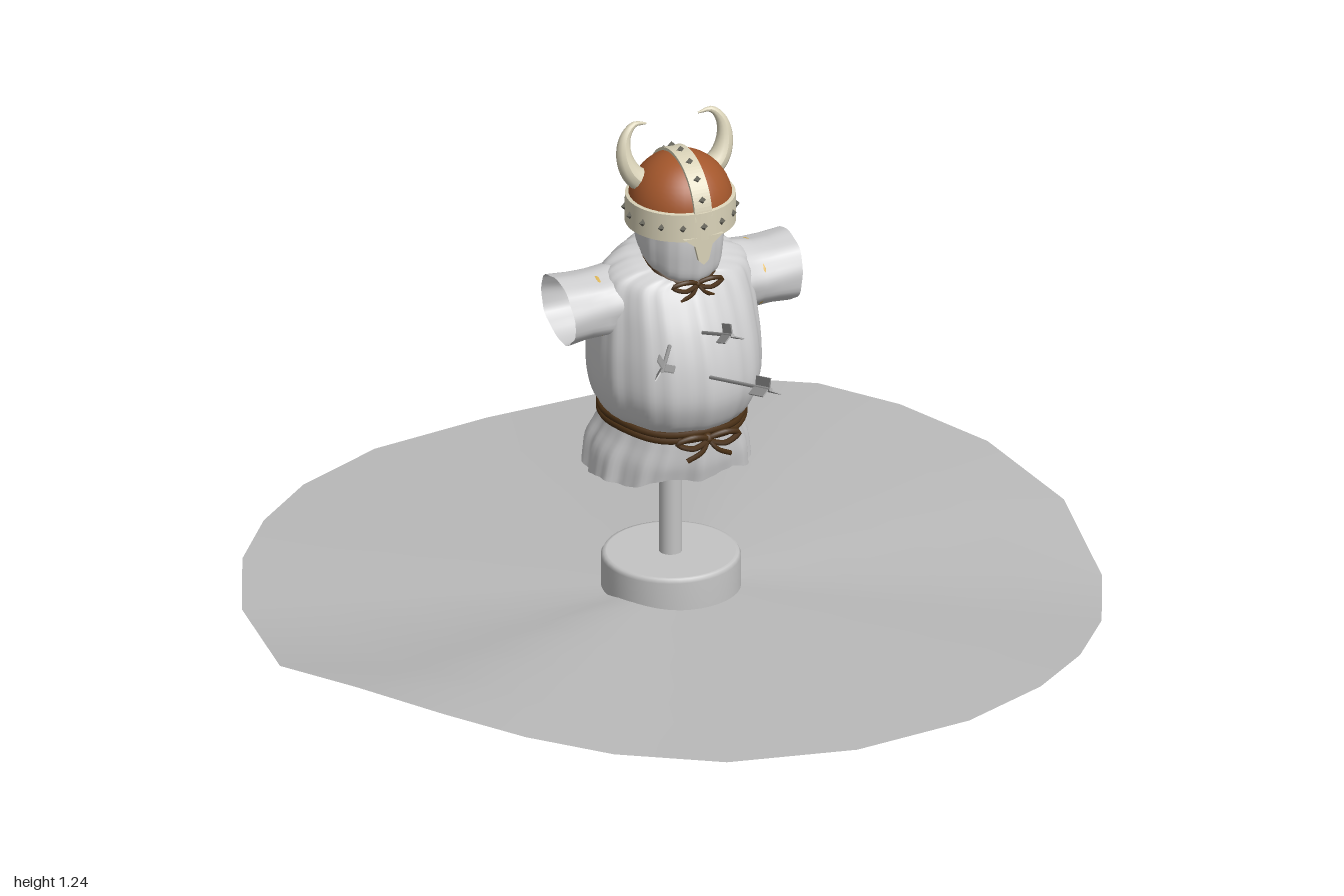
import * as THREE from 'three';

const V = (x, y, z) => new THREE.Vector3(x, y, z);
const mat = (name, color, double) => {
  const m = new THREE.MeshStandardMaterial({ color });
  m.name = name;
  if (double) m.side = THREE.DoubleSide;
  return m;
};

// Smooth surface through a grid of points; columns wrap around
function grid(cols, rows, fn) {
  const pos = [], idx = [];
  for (let i = 0; i < cols; i++) for (let j = 0; j < rows; j++) pos.push(...fn(i, j).toArray());
  for (let i = 0; i < cols; i++) for (let j = 0; j < rows - 1; j++) {
    const a = i * rows + j, b = ((i + 1) % cols) * rows + j;
    idx.push(a, a + 1, b, b, a + 1, b + 1);
  }
  const g = new THREE.BufferGeometry();
  g.setAttribute('position', new THREE.Float32BufferAttribute(pos, 3));
  g.setIndex(idx);
  g.computeVertexNormals();
  return g;
}

const folds = a => Math.sin(9 * a + 0.4) + 0.7 * Math.sin(16 * a + 1) + 0.5 * Math.sin(27 * a + 2);

// Cloth lofted through rings [y, halfWidth, front z, back z, tilt, fold depth]
function cloth(rings, cols, rows, hem = () => 0) {
  const columns = [];
  for (let i = 0; i < cols; i++) {
    const a = i / cols * Math.PI * 2;
    const pts = rings.map(([y, rx, zf, zb, tilt, fold], k) => {
      const s = 1 + fold * folds(a), mid = (zf + zb) / 2, rz = (zf - zb) / 2;
      const dz = rz * Math.sin(a) * s;
      return V(rx * Math.cos(a) * s - 0.004, y - tilt * dz + (k === 0 ? hem(a) : 0), mid + dz);
    });
    columns.push(new THREE.CatmullRomCurve3(pts).getPoints(rows - 1));
  }
  return grid(cols, rows, (i, j) => columns[i][j]);
}

function tube(pts, r, closed = false, seg = 24) {
  return new THREE.TubeGeometry(new THREE.CatmullRomCurve3(pts, closed), seg, r, 6, closed);
}

// Horn: a tube narrowed towards its tip
function horn(pts, r) {
  const seg = 20, sides = 12, curve = new THREE.CatmullRomCurve3(pts);
  const g = new THREE.TubeGeometry(curve, seg, r, sides), p = g.attributes.position, v = V();
  for (let i = 0; i < p.count; i++) {
    const t = Math.floor(i / (sides + 1)) / seg, c = curve.getPointAt(t);
    v.fromBufferAttribute(p, i).sub(c).multiplyScalar(1 - 0.93 * Math.pow(t, 1.3)).add(c);
    p.setXYZ(i, v.x, v.y, v.z);
  }
  g.computeVertexNormals();
  return g;
}

export function createModel() {
  const model = new THREE.Group();
  const linen = mat('linen', 0xcfcfd0, true), ground = mat('ground grey', 0xb9b9b9, true);
  const stand = mat('stand grey', 0xc4c4c4), rope = mat('rope brown', 0x4a3015);
  const leather = mat('helmet brown', 0xa4572c), bone = mat('bone', 0xd9d2b8);
  const straw = mat('straw', 0xdcb456), stud = mat('stud grey', 0x66645a), shaft = mat('arrow grey', 0xa0a0a0);
  const add = (name, geo, m, parent = model) => {
    const mesh = new THREE.Mesh(geo, m);
    mesh.name = name;
    parent.add(mesh);
    return mesh;
  };

  // Uneven ground disc
  const quarter = [0, 18, 33, 45, 57, 72];
  const edge = [.05, .0, .01, .02, .03, .04, .05, .06, .08, .1, .115, .105,
    .035, .035, .04, .04, .04, .035, .03, .06, .09, .1, .09, .075];
  add('groundDisc', grid(24, 6, (i, j) => {
    const a = (quarter[i % 6] + 90 * Math.floor(i / 6)) * Math.PI / 180, r = 1 - j / 5;
    return V(Math.cos(a) * r, 0.05 + (edge[i] - 0.05) * r, Math.sin(a) * r);
  }), ground);

  // Round base with softened rim, and pole
  const baseProfile = [[0, 0], [.16, 0], [.16, 0], [.162, .006], [.162, .12], [.157, .129], [.15, .13], [.15, .13], [0, .13]];
  add('base', new THREE.LatheGeometry(baseProfile.map(p => new THREE.Vector2(...p)), 40), stand).position.set(-.005, 0, .005);
  add('pole', new THREE.CylinderGeometry(.027, .027, .5, 20), stand).position.set(-.006, .36, .005);

  // Tunic, gathered at belt and neck
  add('tunic', cloth([
    [.37, .195, .165, -.2, 0, .022], [.42, .185, .175, -.205, 0, .02], [.47, .163, .18, -.185, 0, .012],
    [.505, .155, .183, -.17, 0, .007], [.54, .178, .208, -.183, 0, .01], [.6, .197, .23, -.19, 0, .01],
    [.68, .2, .225, -.187, 0, .01], [.76, .194, .2, -.16, 0, .012], [.83, .187, .168, -.125, .05, .014],
    [.875, .172, .145, -.098, .12, .016], [.9, .13, .137, -.075, .25, .022], [.91, .088, .13, -.045, .36, .02],
  ], 120, 48, a => -.014 * Math.cos(2 * a) + .006 * Math.sin(7 * a)), linen);

  // Sack head
  add('sackHead', cloth([
    [.9, .07, .125, -.04, .36, .012], [.915, .09, .148, -.055, .32, .012], [.95, .099, .16, -.066, .15, .01],
    [1.0, .101, .164, -.07, .05, .009], [1.06, .104, .155, -.065, 0, .005],
  ], 80, 20), linen);

  // Short open sleeves with straw inside
  const sleeveRings = [[.13, .85, .085, .1], [.17, .083, .092], [.2, .078, .09], [.24, .078, .088], [.29, .083, .092]]
    .map((s, k) => k === 0 ? [.13, .088, .1] : s);
  for (const side of [1, -1]) {
    const arm = new THREE.Group();
    arm.name = side > 0 ? 'leftSleeve' : 'rightSleeve';
    arm.rotation.y = side > 0 ? 0 : Math.PI;
    model.add(arm);
    add('sleeveCloth', grid(48, 5, (i, j) => {
      const a = -i / 48 * Math.PI * 2, [x, ry, rz] = sleeveRings[j];
      const s = 1 + .025 * Math.sin(5 * a + j) + .015 * Math.sin(9 * a);
      return V(x + .008 * Math.sin(a) * (j / 4), .8 + ry * Math.sin(a) * s, rz * Math.cos(a) * s);
    }), linen, arm);
    const fill = add('strawFilling', new THREE.SphereGeometry(1, 24, 14), straw, arm);
    fill.scale.set(.03, .077, .088);
    fill.position.set(.2, .8, 0);
  }

  // Rope loops around waist and neck
  const loop = (y, rx, zf, zb, tilt, r) => tube(Array.from({ length: 32 }, (_, i) => {
    const a = i / 16 * Math.PI, dz = (zf - zb) / 2 * Math.sin(a);
    return V(rx * Math.cos(a) - .004, y - tilt * dz + .003 * Math.sin(5 * a), (zf + zb) / 2 + dz);
  }), r, true, 64);
  add('beltUpper', loop(.512, .163, .192, -.178, 0, .008), rope);
  add('beltLower', loop(.497, .163, .192, -.178, 0, .008), rope);
  add('neckRope', loop(.905, .08, .135, -.047, .36, .01), rope);

  // Bow knots at the front
  const bow = (name, y, z, s) => {
    const g = new THREE.Group();
    g.name = name;
    g.position.set(-.004, y, z);
    g.scale.setScalar(s);
    model.add(g);
    add('knot', new THREE.SphereGeometry(.014, 10, 8), rope, g);
    for (const k of [1, -1]) {
      add('bowLoop', tube([V(0, 0, .005), V(k * .04, .014, .012), V(k * .078, .002, .005), V(k * .04, -.014, .012)], .007, true), rope, g);
      add('ropeEnd', tube([V(0, 0, .005), V(k * .02, -.025, .014), V(k * .055, -.045, .008)], .006), rope, g);
    }
  };
  bow('beltBow', .5, .2, 1);
  bow('neckBow', .872, .143, .8);

  // Helmet: dome, rim band, crest strip, nose guard
  const helmet = new THREE.Group();
  helmet.name = 'helmet';
  helmet.position.set(0, 1.043, .045);
  model.add(helmet);
  add('dome', new THREE.SphereGeometry(.122, 36, 14, 0, Math.PI * 2, 0, Math.PI / 2), leather, helmet);
  const band = [[.12, -.048], [.129, -.048], [.129, -.048], [.128, .02], [.128, .02], [.119, .022]];
  add('rimBand', new THREE.LatheGeometry(band.map(p => new THREE.Vector2(...p)), 40), bone, helmet);
  add('rimLining', new THREE.CylinderGeometry(.12, .12, .05, 36, 1, true), linen, helmet).position.y = -.023;
  const arc = new THREE.Shape();
  arc.absarc(0, 0, .127, 0, Math.PI, false);
  arc.absarc(0, 0, .119, Math.PI, 0, true);
  add('crestStrip', new THREE.ExtrudeGeometry(arc, { depth: .044, bevelEnabled: false, curveSegments: 24 })
    .rotateY(Math.PI / 2).translate(-.022, 0, 0), bone, helmet);
  const nose = new THREE.Shape([[-.05, -.04], [-.022, -.062], [-.013, -.1], [0, -.112], [.013, -.1], [.022, -.062], [.05, -.04]]
    .map(p => new THREE.Vector2(...p)));
  add('noseGuard', new THREE.ExtrudeGeometry(nose, { depth: .009, bevelEnabled: false }), bone, helmet).position.z = .119;

  // Studs along band and crest
  const studGeo = new THREE.OctahedronGeometry(.0095);
  for (let i = 0; i < 16; i++) {
    const a = i / 16 * Math.PI * 2;
    add('bandStud', studGeo, stud, helmet).position.set(.129 * Math.cos(a), -.014, .129 * Math.sin(a));
  }
  for (let i = 1; i < 8; i++) {
    const a = i / 8 * Math.PI;
    add('crestStud', studGeo, stud, helmet).position.set(0, .128 * Math.sin(a), .128 * Math.cos(a));
  }

  // Curved horns
  for (const s of [1, -1]) {
    add(s > 0 ? 'leftHorn' : 'rightHorn', horn([V(s * .075, 1.09, .025), V(s * .112, 1.122, .02), V(s * .128, 1.165, .013),
      V(s * .122, 1.21, .006), V(s * .098, 1.236, .002), V(s * .066, 1.232, 0)], .029), bone);
  }

  // Arrows stuck in the chest: [tail, tip]
  const arrows = [
    [V(-.01, .78, .555), V(-.01, .65, .17)],
    [V(-.235, .825, .445), V(-.08, .74, .16)],
    [V(-.055, .88, .445), V(-.008, .755, .16)],
  ];
  for (const [tail, tip] of arrows) {
    const arrow = new THREE.Group(), dir = tail.clone().sub(tip), len = dir.length();
    arrow.name = 'arrow';
    arrow.position.copy(tip);
    arrow.quaternion.setFromUnitVectors(V(0, 1, 0), dir.normalize());
    model.add(arrow);
    add('arrowShaft', new THREE.CylinderGeometry(.0045, .0045, len, 8), shaft, arrow).position.y = len / 2;
    // Slanted feather vanes
    const vane = new THREE.Shape([[0, -.09], [.027, -.075], [.027, .005], [0, -.01]].map(p => new THREE.Vector2(...p)));
    for (let k = 0; k < 3; k++) {
      const f = add('feather', new THREE.ExtrudeGeometry(vane, { depth: .003, bevelEnabled: false }), shaft, arrow);
      f.position.y = len;
      f.rotation.y = Math.PI / 2 + k * Math.PI * 2 / 3;
    }
  }
  return model;
}
